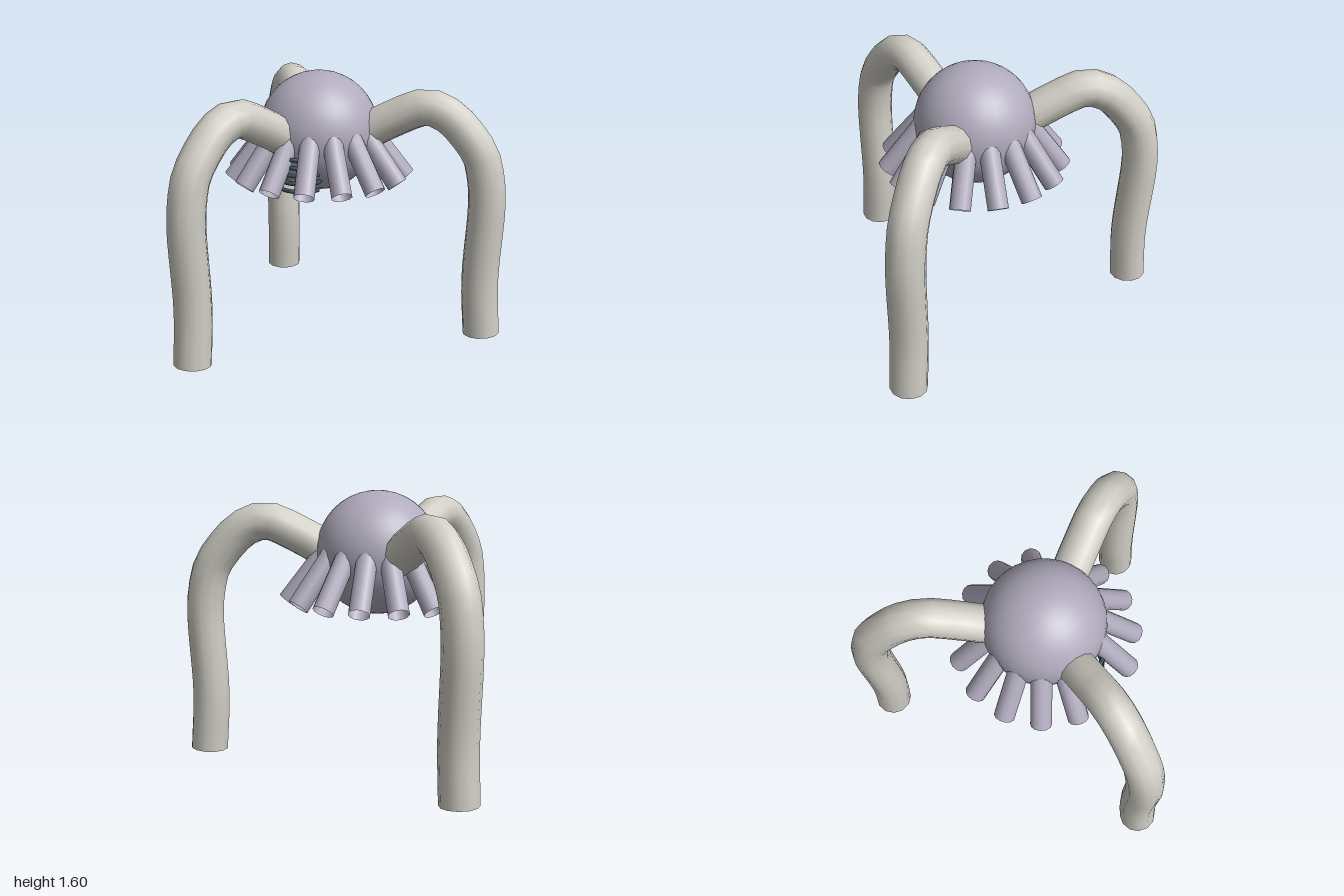
import * as THREE from 'three';

export function createModel() {
  const model = new THREE.Group();
  const mat = (name, color) => {
    const m = new THREE.MeshStandardMaterial({ color, side: THREE.DoubleSide });
    m.name = name;
    return m;
  };
  const lilac = mat('lilac grey', 0xb0abbd);
  const bone = mat('pale bone', 0xd0cec5);
  const slate = mat('dark slate', 0x3a4d5c);

  const add = (parent, name, geometry, material) => {
    const mesh = new THREE.Mesh(geometry, material);
    mesh.name = name;
    parent.add(mesh);
    return mesh;
  };

  // Everything radiates from the vertical axis of the body
  const hub = new THREE.Group();
  hub.name = 'creature';
  hub.position.set(-0.17, 0, -0.11);
  model.add(hub);

  // Spherical body
  add(hub, 'body', new THREE.SphereGeometry(0.365, 32, 20), lilac).position.y = 1.25;

  // Three hollow arched legs (distance from axis, height)
  const legPath = new THREE.CatmullRomCurve3([
    [0.25, 1.23], [0.48, 1.355], [0.665, 1.428], [0.8, 1.385], [0.915, 1.275],
    [1.0, 1.15], [1.035, 1.01], [1.047, 0.86], [1.022, 0.36], [1.04, 0.02],
  ].map(([s, y]) => new THREE.Vector3(s, y, 0)));
  const legGeometry = new THREE.TubeGeometry(legPath, 24, 0.113, 12, false);
  for (let i = 0; i < 3; i++) {
    const leg = add(hub, 'leg' + (i + 1), legGeometry, bone);
    leg.rotation.y = -THREE.MathUtils.degToRad(-12 + i * 120);
  }

  // Skirt of short open tubes, slanting outward and down
  const skirtPath = new THREE.LineCurve3(
    new THREE.Vector3(0.257, 1.322, 0), new THREE.Vector3(0.531, 0.967, 0));
  const skirtGeometry = new THREE.TubeGeometry(skirtPath, 1, 0.063, 12, false);
  const skirt = new THREE.Group();
  skirt.name = 'skirt';
  hub.add(skirt);
  for (let i = 0; i < 15; i++) {
    add(skirt, 'skirtTube' + (i + 1), skirtGeometry, lilac).rotation.y = -i * Math.PI * 2 / 15;
  }

  // Thin coil hanging under the front of the body
  const turns = 5, steps = 80, coilPoints = [];
  for (let i = 0; i <= steps; i++) {
    const t = i / steps, a = t * turns * Math.PI * 2;
    coilPoints.push(new THREE.Vector3(
      0.13 * Math.cos(a), 0.95 + 0.24 * t, 0.265 + 0.13 * Math.sin(a)));
  }
  add(hub, 'coil', new THREE.TubeGeometry(
    new THREE.CatmullRomCurve3(coilPoints), 160, 0.013, 8, false), slate);

  return model;
}
